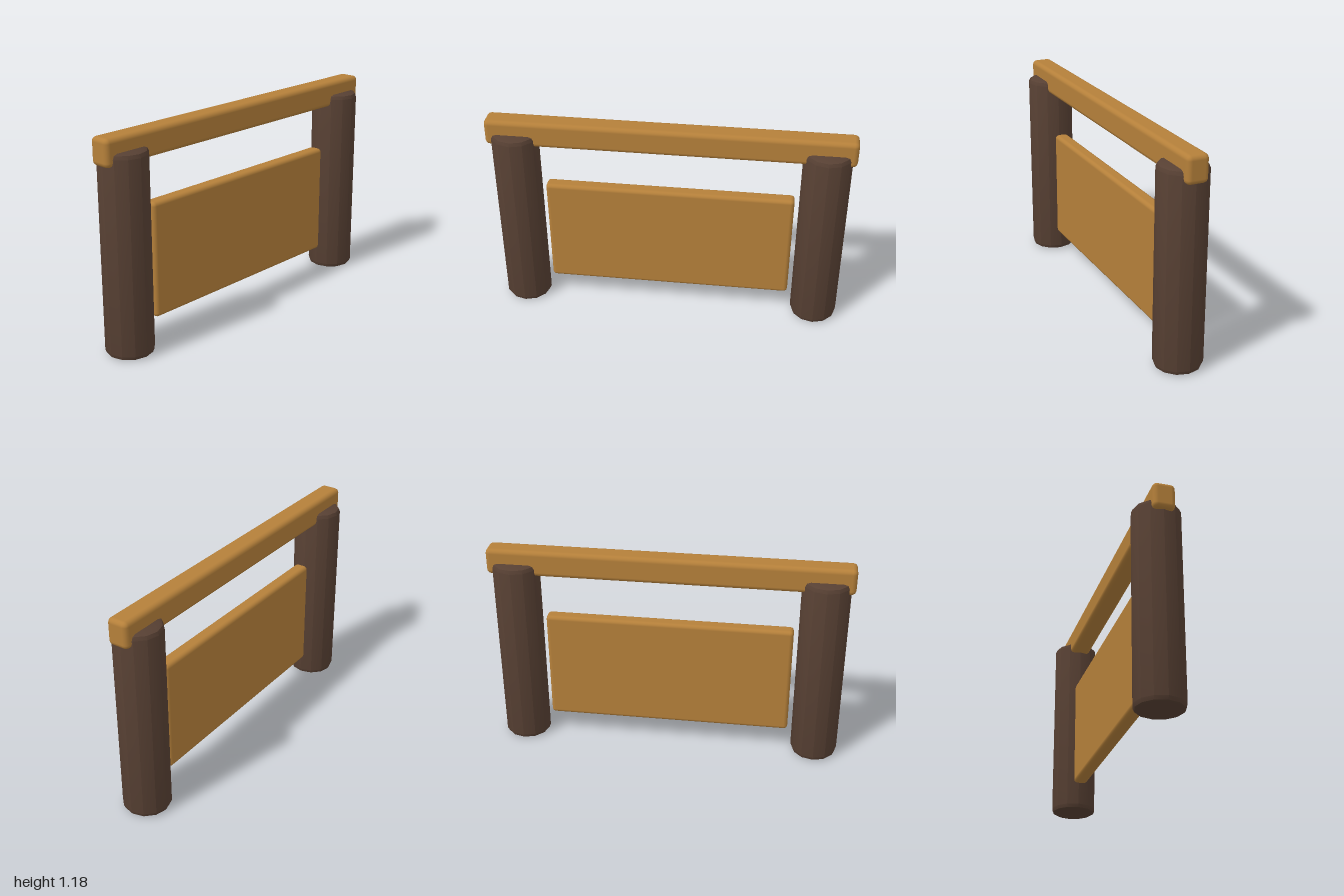
import * as THREE from 'three';
import { RoundedBoxGeometry } from 'three/addons/geometries/RoundedBoxGeometry.js';
import { toCreasedNormals } from 'three/addons/utils/BufferGeometryUtils.js';

const POST_X = 0.847;
const POST_RADIUS = 0.132;
const POST_HEIGHT = 1.105;

const wood = new THREE.MeshStandardMaterial({ color: 0xb5803a });
const darkWood = new THREE.MeshStandardMaterial({ color: 0x574033 });

// Twelve-sided log with softened rims
function postGeometry() {
  const r = POST_RADIUS, h = POST_HEIGHT;
  const profile = [
    [0, 0], [r - 0.025, 0], [r - 0.008, 0.008], [r, 0.027],
    [r, h - 0.027], [r - 0.008, h - 0.008], [r - 0.025, h], [0, h],
  ].map(([x, y]) => new THREE.Vector2(x, y));
  return toCreasedNormals(new THREE.LatheGeometry(profile, 12), 0.6);
}

// Rounded board centred on x and z, spanning y0 to y1
function board(name, width, y0, y1, depth, radius) {
  const mesh = new THREE.Mesh(new RoundedBoxGeometry(width, y1 - y0, depth, 2, radius), wood);
  mesh.name = name;
  mesh.position.y = (y0 + y1) / 2;
  return mesh;
}

export function createModel() {
  const model = new THREE.Group();
  model.name = 'woodenSign';

  // Pair of upright logs
  const geometry = postGeometry();
  for (const side of [-1, 1]) {
    const post = new THREE.Mesh(geometry, darkWood);
    post.name = side > 0 ? 'leftPost' : 'rightPost';
    post.position.x = side * POST_X;
    model.add(post);
  }

  // Beam across the tops, and the panel between the logs
  model.add(board('topBeam', 2, 1.037, 1.185, 0.12, 0.026));
  model.add(board('panel', 1.38, 0.143, 0.785, 0.08, 0.022));
  return model;
}
